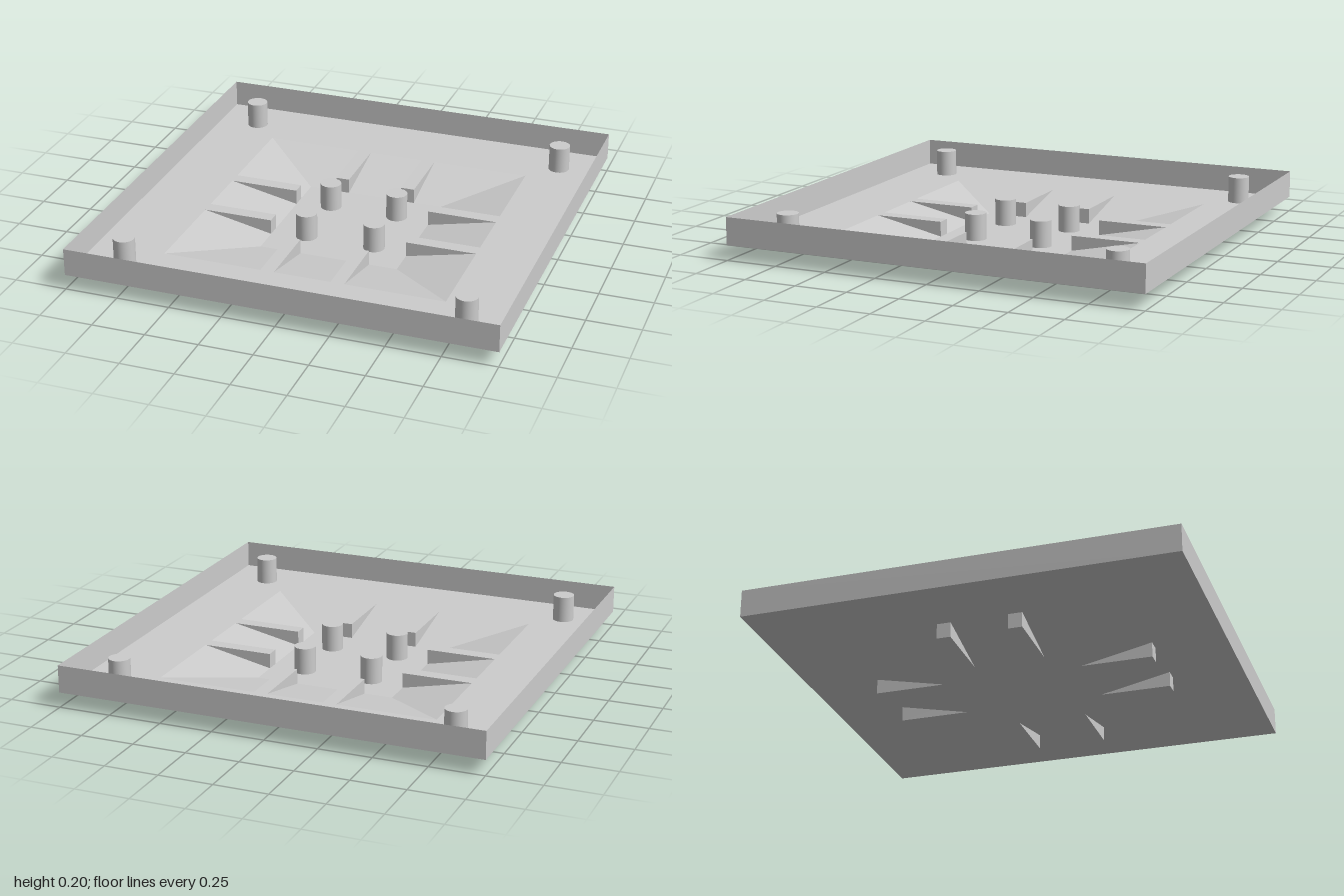
import * as THREE from 'three';

const FLOOR = 0.071; // level of the outer floor
const RIM = 0.2;     // top of the walls
const INNER = 1 / 3; // half width of the recess bottom
const OUTER = 2 / 3; // half width of the recess opening

// Square thin shell swept from a profile of [half width, height] points
function squareShell(profile) {
  const points = profile.map(([r, y]) => new THREE.Vector2(r * Math.SQRT2, y));
  const geometry = new THREE.LatheGeometry(points, 4, Math.PI / 4).toNonIndexed();
  geometry.computeVertexNormals();
  return geometry;
}

export function createModel() {
  const model = new THREE.Group();
  const grey = new THREE.MeshStandardMaterial({ color: 0xcccccc, side: THREE.DoubleSide });
  grey.name = 'light grey';

  const add = (name, geometry, x = 0, y = 0, z = 0) => {
    const mesh = new THREE.Mesh(geometry, grey);
    mesh.name = name;
    mesh.position.set(x, y, z);
    model.add(mesh);
    return mesh;
  };

  // Sheet floor with the sloped square recess, and the thin outer walls
  add('recessedFloor', squareShell([[0, 0], [INNER, 0], [OUTER, FLOOR], [1, FLOOR]]));
  add('outerWalls', squareShell([[1, FLOOR], [1, RIM]]));

  // Pegs: four in the corners and four in the recess
  const peg = new THREE.CylinderGeometry(0.05, 0.05, 0.125, 32);
  for (const sx of [-1, 1]) {
    for (const sz of [-1, 1]) {
      add('cornerPeg', peg, sx * 0.8, FLOOR + 0.0625, sz * 0.8);
      add('centrePeg', peg, sx / 6, 0.0625, sz / 6);
    }
  }

  // Two ribs crossing each of the four slopes
  const rib = new THREE.BoxGeometry(0.065, FLOOR, OUTER - INNER);
  for (const side of [-1, 1]) {
    for (const offset of [-1 / 6, 1 / 6]) {
      add('slopeRib', rib, offset, FLOOR / 2, side * 0.5);
      add('slopeRib', rib, side * 0.5, FLOOR / 2, offset).rotation.y = Math.PI / 2;
    }
  }

  return model;
}
